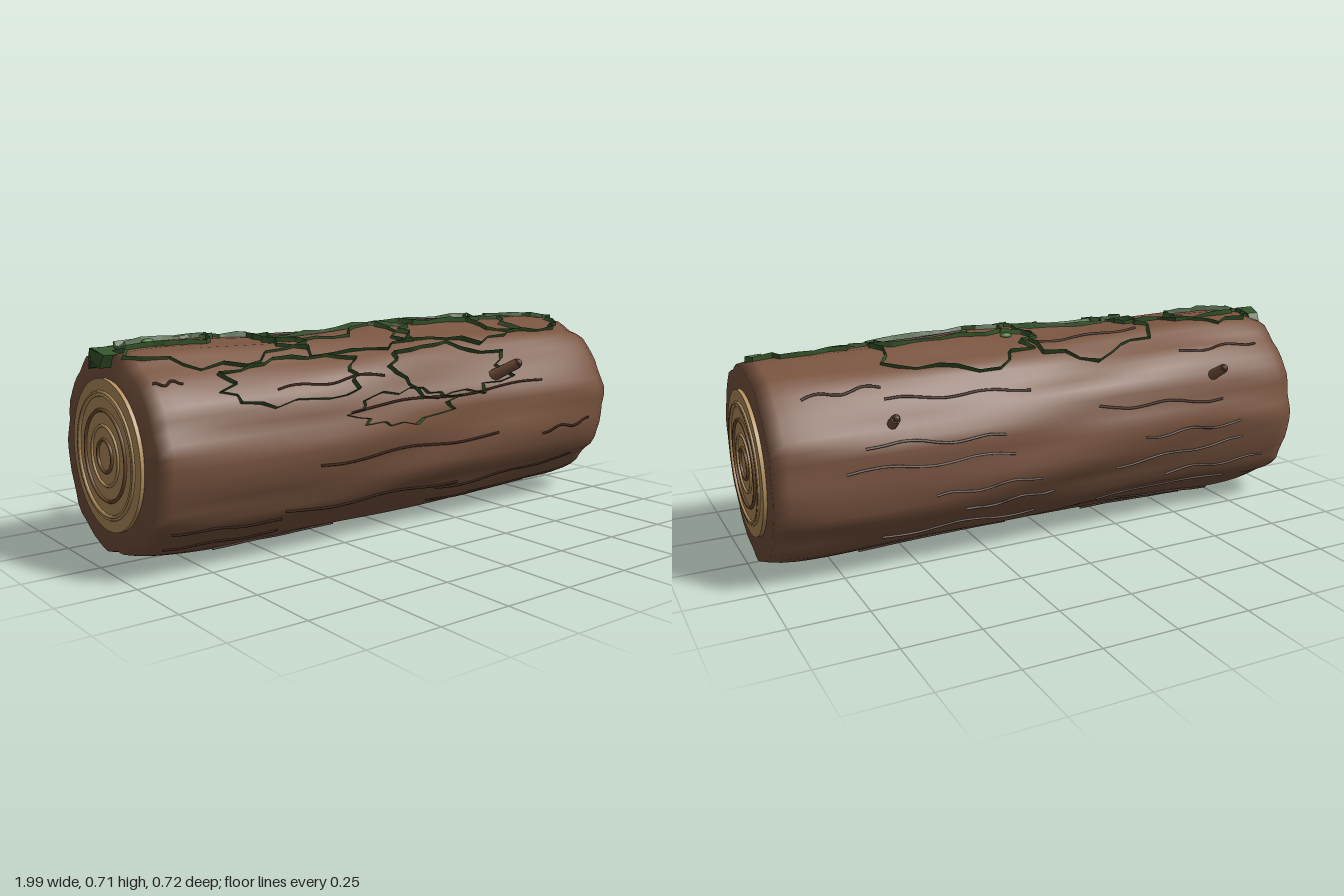
import * as THREE from 'three';

const CY = 0.357, CZ = -0.007, X0 = -0.953, X1 = 0.973;
const mat = (color, side = THREE.FrontSide) => new THREE.MeshStandardMaterial({ color, side });

// Bark radius at length x and angle a (0 = top, PI/2 = front)
function barkRadius(x, a) {
  const end = Math.min(x - X0, X1 - x);
  const taper = 0.022 * Math.exp(-Math.max(end, 0) / 0.07);
  return 0.334 - taper + 0.005 * Math.sin(3 * a + 4 * x) + 0.005 * Math.sin(10 * a + 2 * Math.sin(3 * x))
    + 0.003 * Math.sin(17 * a - 3 * x) + 0.004 * Math.sin(7 * x + 2 * a);
}
const polar = (x, a, r) => new THREE.Vector3(x, CY + r * Math.cos(a), CZ + r * Math.sin(a));
const onBark = (x, a, lift = 0) => polar(x, a, barkRadius(x, a) + lift);

function seeded(seed) {
  return () => (seed = (seed * 16807) % 2147483647) / 2147483647;
}

// Surface through rows of points; each row is a closed loop
function loft(rows) {
  const n = rows[0].length, pos = [], idx = [];
  rows.forEach(row => row.forEach(p => pos.push(p.x, p.y, p.z)));
  for (let i = 0; i < rows.length - 1; i++) {
    for (let j = 0; j < n; j++) {
      const k = (j + 1) % n, a = i * n + j, b = i * n + k;
      idx.push(a, b, a + n, b, b + n, a + n);
    }
  }
  const g = new THREE.BufferGeometry();
  g.setAttribute('position', new THREE.Float32BufferAttribute(pos, 3));
  g.setIndex(idx);
  g.computeVertexNormals();
  return g;
}

export function createModel() {
  const log = new THREE.Group();
  log.name = 'fallenLog';
  const bark = mat(0x7a5540), wood = mat(0xb8935f), darkWood = mat(0x75502f);
  const crackMat = mat(0x3d281c), moss = mat(0x35542a, THREE.DoubleSide);
  const add = (name, geo, m, parent = log) => {
    const mesh = new THREE.Mesh(geo, m);
    mesh.name = name;
    parent.add(mesh);
    return mesh;
  };
  const group = name => {
    const g = new THREE.Group();
    g.name = name;
    log.add(g);
    return g;
  };

  // Bark with its end faces
  const SEG = 56, ROWS = 40, rows = [];
  const ring = f => Array.from({ length: SEG }, (_, j) => f(j / SEG * Math.PI * 2));
  rows.push(ring(a => polar(X0, a, 0.2)));
  for (let i = 0; i <= ROWS; i++) {
    const x = X0 + (X1 - X0) * i / ROWS;
    rows.push(ring(a => onBark(x, a)));
  }
  rows.push(ring(a => polar(X1, a, 0.2)));
  add('bark', loft(rows), bark);

  // Cut ends with growth rings
  for (const [name, x, s] of [['leftEnd', 0.985, 1], ['rightEnd', -0.965, -1]]) {
    const end = group(name);
    end.position.set(x, CY, CZ);
    end.rotation.y = s * Math.PI / 2;
    const disc = add('cutFace', new THREE.CylinderGeometry(0.237, 0.237, 0.04, 48), wood, end);
    disc.rotation.x = Math.PI / 2;
    disc.position.z = -0.02;
    for (const [r, t, m] of [[0.196, 0.005, wood], [0.188, 0.006, wood], [0.141, 0.006, darkWood],
      [0.093, 0.005, wood], [0.05, 0.006, darkWood]]) {
      add('growthRing', new THREE.TorusGeometry(r, t, 6, 48), m, end).position.z = 0.002;
    }
  }

  // Long cracks: start x, end x, start angle, end angle
  const cracks = group('cracks');
  const lines = [[-0.4, 0.38, 1.72, 1.7], [0.6, 0.87, 1.74, 1.7], [-0.27, 0.62, 1.24, 1.18], [-0.52, -0.1, 0.95, 0.92],
    [-0.91, -0.82, 0.75, 0.76], [-0.5, 0.25, 2.2, 2.25], [0.15, 0.85, 2.3, 2.2], [-0.88, -0.5, 2.25, 2.3],
    [0.2, 0.75, 0.05, 0.02], [-0.4, 0, -0.3, -0.32], [-0.85, -0.5, -0.7, -0.75], [0.1, 0.6, -0.9, -0.85],
    [0.6, 0.85, -0.7, -0.72]];
  const rnd = seeded(71);
  for (let i = 0; i < 20; i++) {
    const a = 2.5 + (i % 10) * 0.27, x = (i < 10 ? -0.87 : 0.02) + rnd() * 0.25;
    lines.push([x, x + 0.3 + rnd() * 0.3, a + rnd() * 0.15, a + rnd() * 0.15]);
  }
  lines.forEach(([xa, xb, a0, a1], i) => {
    const pts = [];
    for (let k = 0; k <= 8; k++) {
      const t = k / 8;
      pts.push(onBark(xa + (xb - xa) * t, a0 + (a1 - a0) * t + 0.025 * Math.sin(k * 1.3 + i), 0.001));
    }
    add('crack', new THREE.TubeGeometry(new THREE.CatmullRomCurve3(pts), 24, 0.0045, 5), crackMat, cracks);
  });

  // Ragged moss edges: centre x, centre angle, half length, half angle
  const mossGroup = group('moss');
  const patches = [[-0.76, -0.1, 0.19, 0.3], [-0.62, 0.2, 0.3, 0.42], [-0.22, -0.15, 0.27, 0.5], [-0.14, 0.32, 0.3, 0.3],
    [0.3, -0.2, 0.3, 0.45], [0.36, 0.25, 0.34, 0.38], [0.72, 0.22, 0.22, 0.3], [-0.44, 0.85, 0.27, 0.27],
    [0.21, 0.93, 0.28, 0.31], [-0.04, 1.28, 0.23, 0.17]];
  patches.forEach(([cx, ca, hx, ha], i) => {
    const rand = seeded(100 + i * 37), inner = [], outer = [], low = [];
    for (let j = 0; j < 26; j++) {
      const t = j / 26 * Math.PI * 2, w = 0.78 + 0.36 * rand(), lift = 0.008 + 0.012 * rand();
      const at = (k, l) => onBark(cx + hx * w * k * Math.cos(t), ca + ha * w * k * Math.sin(t), l);
      inner.push(at(0.965, -0.003));
      outer.push(at(1, lift));
      low.push(at(1.01, -0.003));
    }
    const g = loft([inner, outer, low]).toNonIndexed();
    g.computeVertexNormals();
    add('mossEdge', g, moss, mossGroup);
  });

  // Moss lip hanging over the right end
  const lip = new THREE.Shape([[-0.12, 0.61], [-0.07, 0.68], [0, 0.69], [0.05, 0.67], [0.03, 0.63], [-0.03, 0.65], [-0.07, 0.62]]
    .map(([z, y]) => new THREE.Vector2(z, y)));
  const lipGeo = new THREE.ExtrudeGeometry(lip, { depth: 0.07, bevelEnabled: false });
  lipGeo.rotateY(-Math.PI / 2);
  const p = lipGeo.attributes.position;
  for (let i = 0; i < p.count; i++) {
    // Tip narrows toward its outermost point
    if (p.getX(i) < -0.05) p.setX(i, -0.07 + Math.abs(p.getZ(i) - 0) * 0.35);
  }
  lipGeo.translate(-0.93, 0, 0);
  lipGeo.computeVertexNormals();
  add('mossLip', lipGeo, moss, mossGroup);

  // Small moss tufts on top
  for (const [x, z] of [[-0.79, -0.05], [0.08, -0.04], [0.23, -0.015]]) {
    const tuft = add('mossTuft', new THREE.SphereGeometry(0.02, 10, 8), mat(0x4d7a3c), mossGroup);
    tuft.position.copy(onBark(x, Math.asin((z - CZ) / 0.34), 0.002));
    tuft.scale.set(1.1, 0.5, 0.7);
  }

  // Broken twig stubs
  const stubs = group('twigStubs');
  for (const [a, b, r] of [[[0.4, 0.51, 0.26], [0.45, 0.565, 0.345], 0.022],
    [[-0.6, 0.51, -0.27], [-0.62, 0.562, -0.343], 0.02], [[0.59, 0.5, -0.28], [0.59, 0.54, -0.333], 0.018]]) {
    const from = new THREE.Vector3(...a), to = new THREE.Vector3(...b), dir = to.clone().sub(from);
    const stub = add('twigStub', new THREE.CylinderGeometry(r * 0.85, r, dir.length(), 9), bark, stubs);
    stub.position.copy(from).add(to).multiplyScalar(0.5);
    stub.quaternion.setFromUnitVectors(new THREE.Vector3(0, 1, 0), dir.normalize());
    const tip = add('twigTip', new THREE.SphereGeometry(r * 0.8, 9, 6), mat(0x4a3022), stubs);
    tip.position.copy(to);
    tip.scale.setScalar(0.9);
  }
  return log;
}
